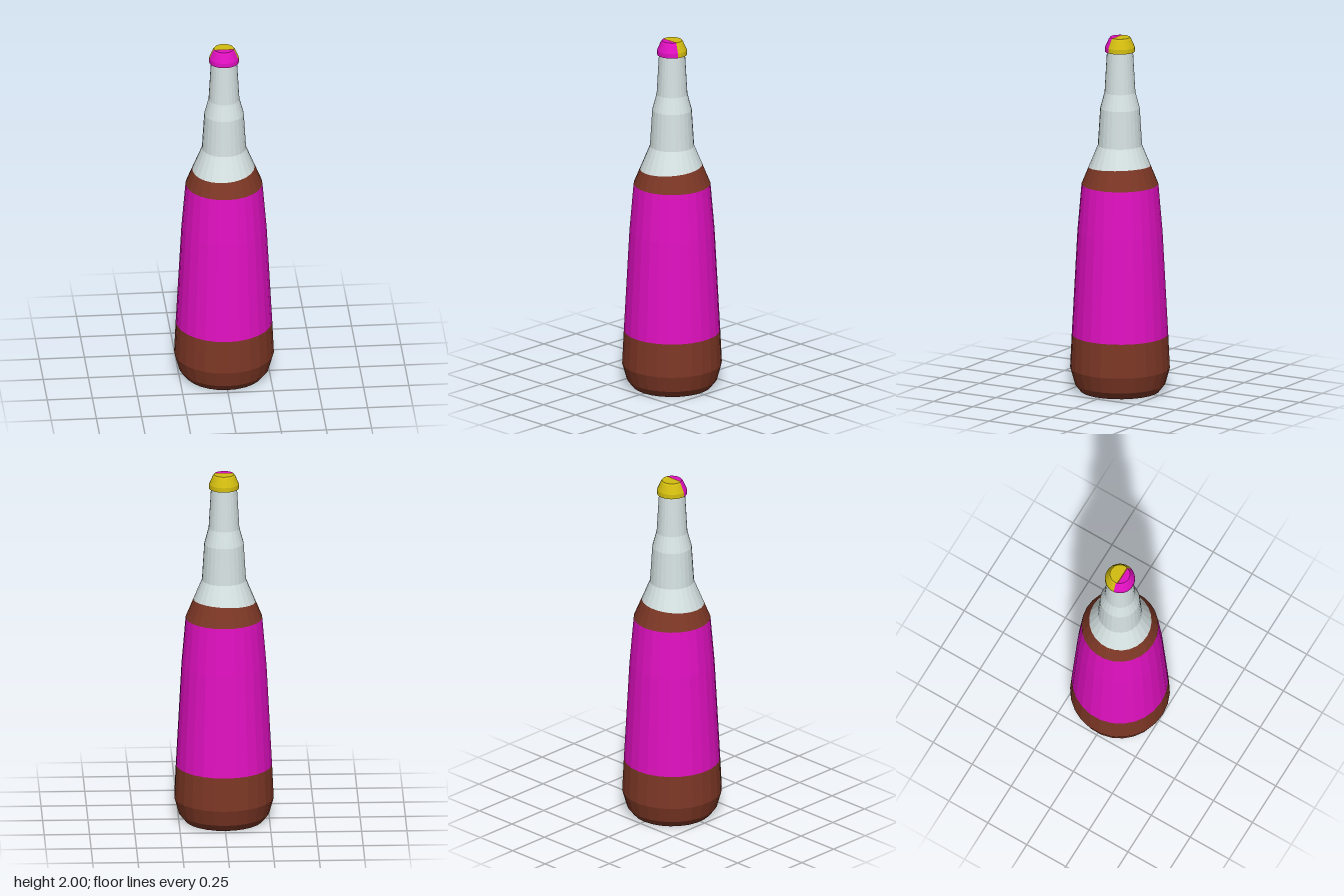
import * as THREE from 'three';

const SIDES = 26;
const STEP = (Math.PI * 2) / SIDES;

const material = (name, color) => {
  const m = new THREE.MeshStandardMaterial({ color });
  m.name = name;
  return m;
};

// Height of the slightly tilted liquid line, and shoulder radius at a height
const LINE_Y = 1.268;
const lineHeight = (phi) => LINE_Y + 0.008 * Math.sin(phi) - 0.01 * Math.cos(phi);
const shoulderRadius = (y) => 0.122 + (0.09 * (1.39 - y)) / 0.22;

// Faceted lathe over whole segments of the 26-sided bottle
function turned(name, profile, mat, first = 0, count = SIDES) {
  const points = profile.map(([r, y]) => new THREE.Vector2(r, y));
  const lathe = new THREE.LatheGeometry(points, count, first * STEP, count * STEP);
  const p = lathe.attributes.position;
  for (let i = 0; i < p.count; i++) {
    if (Math.abs(p.getY(i) - LINE_Y) > 1e-4) continue;
    const phi = Math.atan2(p.getX(i), p.getZ(i));
    const y = lineHeight(phi);
    const r = shoulderRadius(y);
    p.setXYZ(i, r * Math.sin(phi), y, r * Math.cos(phi));
  }
  const geometry = lathe.toNonIndexed();
  geometry.computeVertexNormals();
  const mesh = new THREE.Mesh(geometry, mat);
  mesh.name = name;
  return mesh;
}

// Flat polygon on the cap top, given as [x, z] corners
function topPlate(name, corners, mat) {
  const shape = new THREE.Shape(corners.map(([x, z]) => new THREE.Vector2(x, -z)));
  const geometry = new THREE.ShapeGeometry(shape);
  geometry.rotateX(-Math.PI / 2);
  geometry.translate(0, 2, 0);
  const mesh = new THREE.Mesh(geometry, mat);
  mesh.name = name;
  return mesh;
}

export function createModel() {
  const brown = material('brown glass', 0x7c3725);
  const magenta = material('magenta label', 0xe010c0);
  const pale = material('pale glass', 0xd6e2e2);
  const yellow = material('yellow cap', 0xd2bc10);

  const group = new THREE.Group();
  group.name = 'bottle';

  // Body, label, shoulder and stepped neck
  const line = [shoulderRadius(LINE_Y), LINE_Y];
  group.add(
    turned('base', [[0, 0], [0.218, 0], [0.25, 0.04], [0.275, 0.13], [0.266, 0.32]], brown),
    turned('label', [[0.266, 0.32], [0.235, 0.9], [0.212, 1.17]], magenta),
    turned('shoulder', [[0.212, 1.17], line], brown),
    turned('neck', [line, [0.122, 1.39], [0.109, 1.6], [0.085, 1.69], [0.072, 1.92]], pale),
  );

  // Cap wall: magenta at the front, yellow around the rest
  const cap = [[0.07, 1.92], [0.083, 1.92], [0.082, 1.945], [0.062, 1.99], [0.055, 2]];
  group.add(
    turned('capFront', cap, magenta, -6, 11),
    turned('capBack', cap, yellow, 5, 15),
  );

  // Cap top: yellow and magenta halves with a brown strip between
  const rim = (from, to) => Array.from({ length: to - from + 1 }, (_, i) => {
    const a = (from + i) * STEP;
    return [0.055 * Math.sin(a), 0.055 * Math.cos(a)];
  });
  const front = rim(-5, 5);
  group.add(
    topPlate('capTopFront', front, magenta),
    topPlate('capTopBack', [[0.0533, 0.012], ...rim(6, 20), [-0.0533, 0.012]], yellow),
    topPlate('capTopStrip', [front[0], front[10], [0.0533, 0.012], [-0.0533, 0.012]], brown),
  );
  return group;
}
